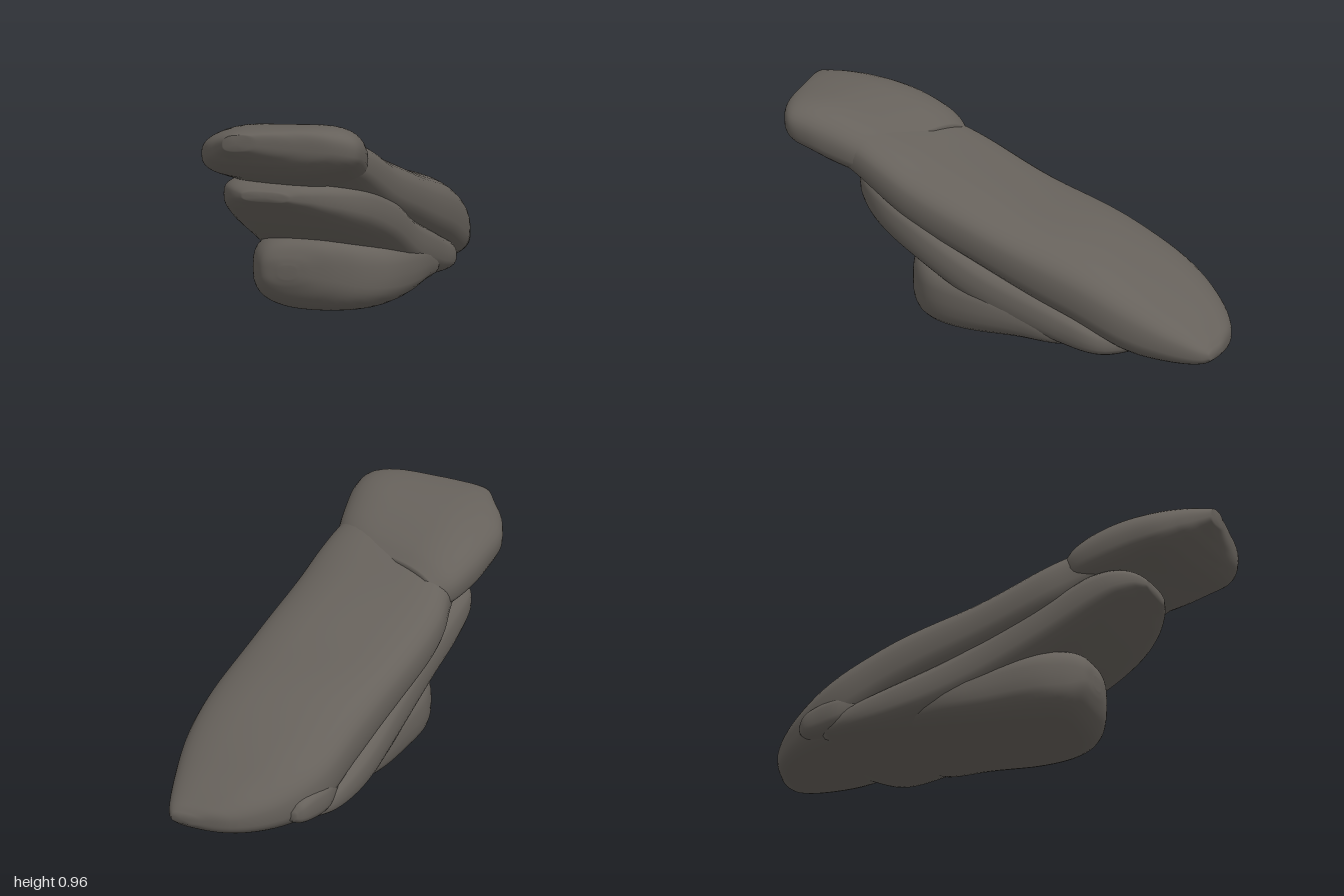
import * as THREE from 'three';

const stone = new THREE.MeshStandardMaterial({ color: 0x66615b });
stone.name = 'dark stone';

const bend = (v, p) => Math.sign(v) * Math.abs(v) ** p;

// Lofts a rounded slab along z. Each row: [z, left x, right x, bottom y, top y]
// crown, taper: 0.6 = square, 1 = round top and underside
// skew: slant of the back end; tilt: rise from left to right
function slab(name, rows, { seed = 0, crown = 0.68, taper = 0.65, skew = 0, tilt = 0, steps = 48, sides = 40 }) {
  const plan = new THREE.CatmullRomCurve3(rows.map(r => new THREE.Vector3(r[0], r[1], r[2])), false, 'centripetal');
  const rise = new THREE.CatmullRomCurve3(rows.map(r => new THREE.Vector3(r[0], r[3], r[4])), false, 'centripetal');
  const pos = [], index = [];
  for (let i = 0; i <= steps; i++) {
    const a = plan.getPoint(i / steps), b = rise.getPoint(i / steps);
    for (let j = 0; j < sides; j++) {
      const t = (j / sides) * Math.PI * 2, below = Math.sin(t) < 0;
      const x = (a.y + a.z) / 2 + (a.z - a.y) / 2 * bend(Math.cos(t), below ? taper : 0.62);
      const y = (b.y + b.z) / 2 + (b.z - b.y) / 2 * bend(Math.sin(t), below ? 0.68 : crown);
      // gentle weathering of the surface
      const wave = Math.sin(x * 9 + a.x * 4 + seed) * Math.sin(a.x * 6 - x * 3 + seed * 2);
      pos.push(x, Math.max(0, y + tilt * x + 0.007 * wave), a.x + skew * x * (1 - i / steps));
    }
  }
  for (let i = 0; i < steps; i++) {
    for (let j = 0; j < sides; j++) {
      const k = (j + 1) % sides, a = i * sides + j, b = i * sides + k;
      index.push(a, b, b + sides, a, b + sides, a + sides);
    }
  }
  // close both ends
  for (const [row, start, flip] of [[rows[0], 0, true], [rows[rows.length - 1], steps * sides, false]]) {
    const c = pos.length / 3, x = (row[1] + row[2]) / 2;
    pos.push(x, (row[3] + row[4]) / 2 + tilt * x, row[0]);
    for (let j = 0; j < sides; j++) {
      const a = start + j, b = start + (j + 1) % sides;
      index.push(c, flip ? b : a, flip ? a : b);
    }
  }
  const geo = new THREE.BufferGeometry();
  geo.setAttribute('position', new THREE.Float32BufferAttribute(pos, 3));
  geo.setIndex(index);
  geo.computeVertexNormals();
  const mesh = new THREE.Mesh(geo, stone);
  mesh.name = name;
  return mesh;
}

export function createModel() {
  const model = new THREE.Group();
  model.name = 'layeredRock';
  const layers = new THREE.Group();
  layers.name = 'rockLayers';
  layers.rotation.y = 0.541; // layers run diagonally from back right to front left
  model.add(layers);

  // long sloping top layer
  layers.add(slab('topSlab', [
    [-1.09, 0.03, 0.14, 0.07, 0.11],
    [-1.04, -0.15, 0.18, 0.04, 0.16],
    [-0.90, -0.31, 0.24, 0.03, 0.26],
    [-0.70, -0.41, 0.30, 0.05, 0.385],
    [-0.45, -0.43, 0.325, 0.16, 0.50],
    [-0.05, -0.43, 0.33, 0.31, 0.615],
    [0.30, -0.425, 0.32, 0.45, 0.745],
    [0.45, -0.38, 0.31, 0.53, 0.81],
    [0.60, -0.34, 0.29, 0.62, 0.86],
    [0.75, -0.30, 0.26, 0.70, 0.87],
  ], { seed: 0.5, crown: 0.78, tilt: 0.03 }));

  // raised block on the front end of the top layer
  layers.add(slab('capStone', [
    [0.45, -0.34, 0.22, 0.61, 0.80],
    [0.53, -0.40, 0.28, 0.62, 0.86],
    [0.66, -0.425, 0.32, 0.65, 0.92],
    [0.77, -0.425, 0.34, 0.69, 0.95],
    [0.875, -0.41, 0.335, 0.73, 0.96],
    [0.95, -0.36, 0.26, 0.78, 0.96],
    [1.00, -0.29, 0.09, 0.83, 0.955],
    [1.035, -0.24, -0.11, 0.875, 0.945],
  ], { seed: 2.1, crown: 0.88, taper: 0.75, skew: 0.25, tilt: 0.09 }));

  // middle layer, shorter and set back
  layers.add(slab('middleSlab', [
    [-0.75, -0.38, 0.15, 0.05, 0.12],
    [-0.60, -0.43, 0.28, 0.02, 0.19],
    [-0.40, -0.44, 0.30, 0.03, 0.27],
    [0.00, -0.41, 0.32, 0.15, 0.43],
    [0.30, -0.40, 0.32, 0.30, 0.58],
    [0.50, -0.40, 0.27, 0.41, 0.665],
    [0.62, -0.38, 0.18, 0.49, 0.67],
    [0.70, -0.32, 0.06, 0.55, 0.65],
    [0.74, -0.25, -0.05, 0.58, 0.62],
  ], { seed: 3.7 }));

  // thick base block with a rounded underside
  layers.add(slab('baseBlock', [
    [-0.46, -0.20, 0.10, 0.04, 0.14],
    [-0.38, -0.36, 0.27, 0.03, 0.19],
    [-0.20, -0.40, 0.31, 0.02, 0.27],
    [0.05, -0.39, 0.32, 0.005, 0.33],
    [0.25, -0.37, 0.28, 0.01, 0.355],
    [0.36, -0.33, 0.19, 0.03, 0.355],
    [0.42, -0.29, 0.08, 0.08, 0.33],
    [0.45, -0.25, -0.03, 0.14, 0.28],
    [0.46, -0.18, -0.10, 0.18, 0.24],
  ], { seed: 5.2, taper: 0.95 }));

  // small knob at the low back corner
  layers.add(slab('cornerKnob', [
    [-0.86, -0.36, -0.30, 0.10, 0.14],
    [-0.83, -0.39, -0.26, 0.08, 0.18],
    [-0.76, -0.41, -0.24, 0.07, 0.21],
    [-0.67, -0.425, -0.26, 0.08, 0.22],
    [-0.58, -0.41, -0.32, 0.12, 0.21],
  ], { seed: 1.3, steps: 20, sides: 24 }));

  return model;
}
